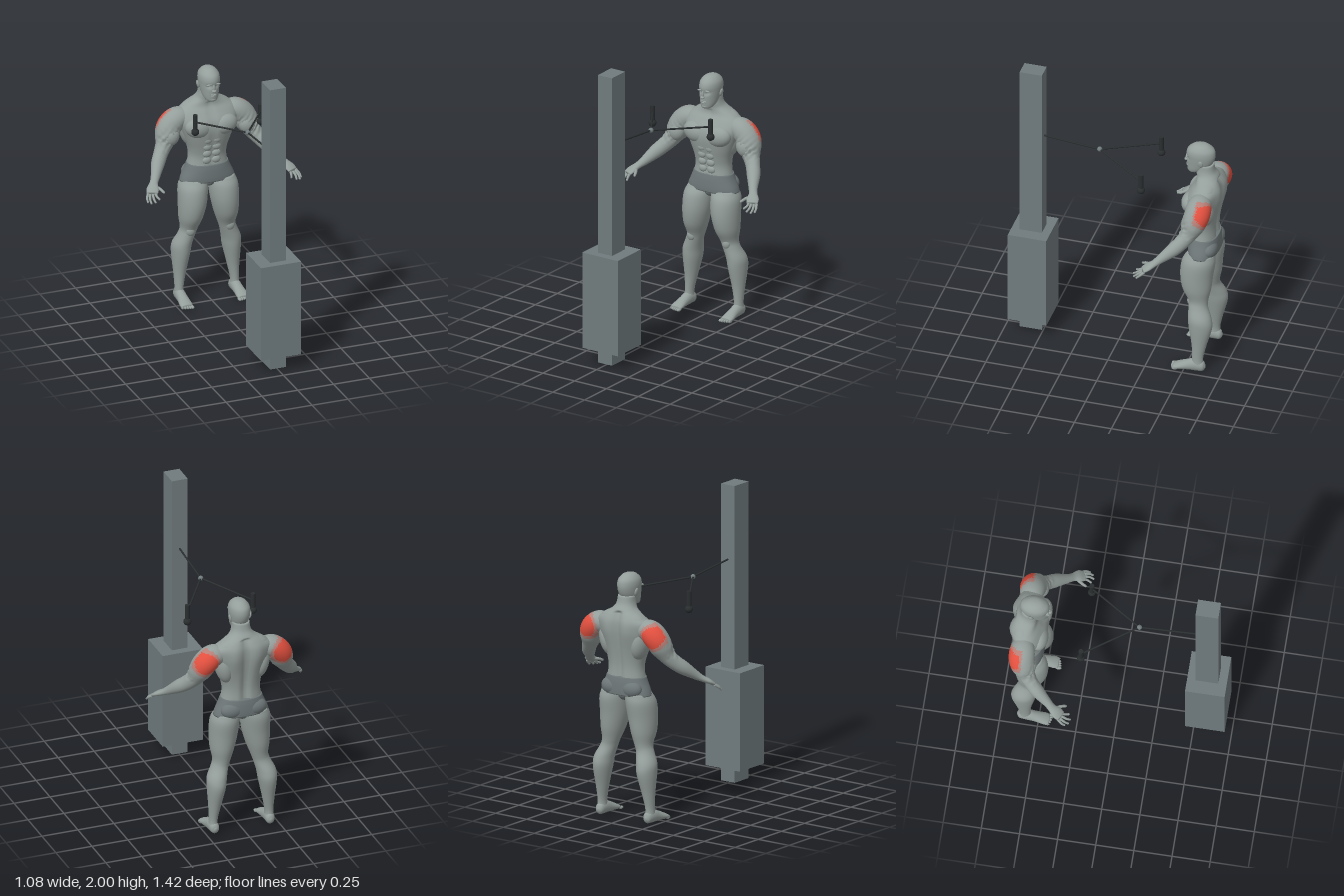
import * as THREE from 'three';

const mat = (name, color) => Object.assign(new THREE.MeshStandardMaterial({ color }), { name });
const skin = mat('skin grey', 0x949e9b);
const red = mat('active muscle red', 0xe2503f);
const flushed = mat('muscle edge', 0xb67f77);
const cloth = mat('shorts grey', 0x6e7778);
const steel = mat('machine grey', 0x707b7d);
const black = mat('grip black', 0x2a2e2f);
const Y = new THREE.Vector3(0, 1, 0);

// Smooth skin through rows of [x, y, z, halfWidth, halfDepth].
// upright: rings stay level; rule(p): reshapes a point; pick(p): material index of a face.
function loft(rows, { upright = false, seg = 36, steps = 5, e = 1, rule, pick } = {}) {
  const path = new THREE.CatmullRomCurve3(rows.map(r => new THREE.Vector3(r[0], r[1], r[2])), false, 'catmullrom');
  const size = new THREE.CatmullRomCurve3(rows.map(r => new THREE.Vector3(r[3], r[4], 0)), false, 'catmullrom');
  const n = (rows.length - 1) * steps, pts = [], tris = [];
  const pow = v => Math.sign(v) * Math.abs(v) ** e;
  for (let i = 0; i <= n; i++) {
    const c = path.getPoint(i / n), s = size.getPoint(i / n);
    const t = upright ? Y : path.getTangent(i / n);
    const u = upright ? new THREE.Vector3(1, 0, 0) : new THREE.Vector3().crossVectors(t, Y).normalize();
    const v = new THREE.Vector3().crossVectors(u, t);
    for (let j = 0; j < seg; j++) {
      const a = j / seg * Math.PI * 2;
      const p = c.clone().addScaledVector(u, pow(Math.sin(a)) * s.x).addScaledVector(v, pow(Math.cos(a)) * s.y);
      if (rule) rule(p);
      pts.push(p);
    }
  }
  for (let i = 0; i < n; i++) for (let j = 0; j < seg; j++) {
    const a = i * seg + j, b = i * seg + (j + 1) % seg;
    tris.push([a, b, b + seg], [a, b + seg, a + seg]);
  }
  // end caps
  const start = pts.push(path.getPoint(0)) - 1, end = pts.push(path.getPoint(1)) - 1;
  for (let j = 0; j < seg; j++) {
    const k = (j + 1) % seg;
    tris.push([start, k, j], [end, n * seg + j, n * seg + k]);
  }
  const g = new THREE.BufferGeometry().setFromPoints(pts);
  if (pick) {
    const sets = [[], [], []];
    for (const t of tris) {
      const m = new THREE.Vector3();
      t.forEach(k => m.addScaledVector(pts[k], 1 / 3));
      sets[pick(m)].push(...t);
    }
    let at = 0;
    sets.forEach((s, k) => { g.addGroup(at, s.length, k); at += s.length; });
    g.setIndex(sets.flat());
  } else g.setIndex(tris.flat());
  g.computeVertexNormals();
  return g;
}

export function createModel() {
  const model = new THREE.Group();
  model.name = 'cableExercise';
  const body = new THREE.Group(), machine = new THREE.Group();
  body.name = 'figure';
  machine.name = 'cableMachine';
  model.add(body, machine);

  const add = (parent, name, geo, material, pos = [0, 0, 0]) => {
    const m = new THREE.Mesh(geo, material);
    m.name = name;
    m.position.set(...pos);
    parent.add(m);
    return m;
  };
  const blob = (name, pos, r, material = skin, tilt = 0) => {
    const m = add(body, name, new THREE.SphereGeometry(1, 24, 16), material, pos);
    m.scale.set(...r);
    m.rotation.z = tilt;
  };
  const rod = (parent, name, a, b, r, material) => {
    const A = new THREE.Vector3(...a), B = new THREE.Vector3(...b), d = B.clone().sub(A);
    const m = add(parent, name, new THREE.CylinderGeometry(r, r, d.length(), 16), material);
    m.position.copy(A).lerp(B, 0.5);
    m.quaternion.setFromUnitVectors(Y, d.normalize());
  };

  // Machine: column, weight stack, cable with two grips
  add(machine, 'column', new THREE.BoxGeometry(0.11, 1.99, 0.15), steel, [0, 1.005, 0.58]);
  add(machine, 'weightStack', new THREE.BoxGeometry(0.28, 0.66, 0.26), steel, [0, 0.44, 0.58]);
  rod(machine, 'mainCable', [0, 1.5, 0.51], [0, 1.465, 0.13], 0.006, black);
  add(machine, 'cableJoint', new THREE.SphereGeometry(0.017, 20, 14), steel, [0, 1.465, 0.13]);
  for (const s of [-1, 1]) {
    rod(machine, 'sideCable', [0, 1.465, 0.13], [s * 0.228, 1.43, -0.218], 0.006, black);
    rod(machine, 'grip', [s * 0.228, 1.36, -0.218], [s * 0.228, 1.48, -0.218], 0.016, black);
    add(machine, 'gripBall', new THREE.SphereGeometry(0.026, 20, 14), black, [s * 0.228, 1.36, -0.218]);
  }

  // Torso with neck; a groove runs down the spine, with fuller muscle beside it
  const torso = [
    [0.95, -0.585, 0.137, 0.089], [1.02, -0.586, 0.128, 0.085], [1.08, -0.583, 0.136, 0.092],
    [1.15, -0.58, 0.16, 0.105], [1.22, -0.58, 0.185, 0.116], [1.28, -0.588, 0.205, 0.115],
    [1.335, -0.605, 0.2, 0.098], [1.375, -0.612, 0.15, 0.08], [1.415, -0.603, 0.085, 0.07],
    [1.45, -0.588, 0.063, 0.063], [1.5, -0.582, 0.056, 0.058],
  ].map(([y, z, a, b]) => [0, y, z, a, b]);
  add(body, 'torso', loft(torso, {
    upright: true, seg: 56, e: 0.9,
    rule: p => {
      if (p.y > 1.4) return;
      if (p.z < -0.62) {
        p.z += 0.022 * Math.exp(-((p.x / 0.025) ** 2));
        p.z -= 0.012 * Math.exp(-(((Math.abs(p.x) - 0.08) / 0.04) ** 2) - ((p.y - 1.28) / 0.1) ** 2);
      } else if (p.z > -0.55) p.z -= 0.008 * Math.exp(-((p.x / 0.015) ** 2));
    },
  }), skin);

  // Shorts
  const shorts = [[0.967, 0.139, 0.092], [0.93, 0.153, 0.098], [0.88, 0.176, 0.101], [0.847, 0.187, 0.1]]
    .reverse().map(([y, a, b]) => [0, y, -0.586, a, b]);
  add(body, 'shorts', loft(shorts, { upright: true, e: 0.88 }), cloth);
  blob('shortsCrotch', [0, 0.845, -0.58], [0.045, 0.05, 0.08], cloth);

  // Head
  const head = [
    [1.425, -0.5, 0.018, 0.02], [1.435, -0.51, 0.038, 0.04], [1.46, -0.53, 0.052, 0.065],
    [1.5, -0.547, 0.061, 0.085], [1.54, -0.555, 0.067, 0.094], [1.575, -0.556, 0.069, 0.096],
    [1.605, -0.557, 0.063, 0.086], [1.63, -0.557, 0.044, 0.058], [1.641, -0.557, 0.024, 0.033],
    [1.645, -0.557, 0.003, 0.004],
  ].map(([y, z, a, b]) => [0, y, z, a, b]);
  add(body, 'head', loft(head, {
    upright: true, seg: 48,
    rule: p => { // eye sockets
      if (p.z > -0.52) p.z -= 0.012 * Math.exp(-(((Math.abs(p.x) - 0.026) / 0.016) ** 2) - ((p.y - 1.538) / 0.012) ** 2);
    },
  }), skin);
  blob('noseBridge', [0, 1.527, -0.461], [0.008, 0.025, 0.009]);
  blob('noseTip', [0, 1.508, -0.457], [0.015, 0.01, 0.014]);
  blob('upperLip', [0, 1.48, -0.467], [0.021, 0.005, 0.009]);
  blob('lowerLip', [0, 1.47, -0.469], [0.018, 0.006, 0.01]);
  blob('chin', [0, 1.443, -0.482], [0.024, 0.015, 0.017]);

  // Rear shoulder is the highlighted muscle
  const shoulder = p => {
    const d = Math.hypot((p.y - 1.265) / 0.09, (Math.abs(p.x) - 0.265) / 0.09);
    return p.z > -0.598 || d > 1 ? 0 : d < 0.78 && p.z < -0.612 ? 1 : 2;
  };
  const armRows = [
    [0.13, 1.29, -0.6, 0.06, 0.06], [0.2, 1.29, -0.605, 0.08, 0.075], [0.252, 1.25, -0.603, 0.084, 0.08],
    [0.283, 1.19, -0.585, 0.078, 0.075], [0.31, 1.135, -0.563, 0.056, 0.056], [0.345, 1.09, -0.53, 0.047, 0.05],
    [0.385, 1.045, -0.48, 0.044, 0.045], [0.43, 0.99, -0.41, 0.03, 0.029], [0.455, 0.965, -0.375, 0.028, 0.021],
    [0.475, 0.945, -0.34, 0.04, 0.018], [0.49, 0.925, -0.31, 0.037, 0.012],
  ];
  // [knuckle, middle joint, tip]
  const fingers = [
    [[0.515, 0.922, -0.325], [0.53, 0.902, -0.3], [0.533, 0.885, -0.28]],
    [[0.505, 0.92, -0.312], [0.517, 0.9, -0.28], [0.517, 0.883, -0.258]],
    [[0.488, 0.92, -0.305], [0.494, 0.903, -0.273], [0.491, 0.889, -0.25]],
    [[0.469, 0.924, -0.305], [0.468, 0.91, -0.285], [0.46, 0.9, -0.262]],
    [[0.45, 0.95, -0.35], [0.43, 0.942, -0.318], [0.418, 0.93, -0.288]],
  ];
  const legRows = [
    [0.095, 0.86, -0.585, 0.085, 0.088], [0.105, 0.8, -0.572, 0.097, 0.11], [0.112, 0.7, -0.56, 0.093, 0.109],
    [0.122, 0.6, -0.563, 0.079, 0.096], [0.13, 0.52, -0.575, 0.059, 0.068], [0.145, 0.47, -0.58, 0.057, 0.064],
    [0.17, 0.4, -0.597, 0.064, 0.077], [0.177, 0.33, -0.604, 0.06, 0.078], [0.186, 0.2, -0.598, 0.041, 0.05],
    [0.193, 0.1, -0.59, 0.029, 0.037], [0.194, 0.04, -0.59, 0.032, 0.043],
  ].reverse();
  const footRows = [
    [0.192, 0.035, -0.642, 0.008, 0.01], [0.192, 0.037, -0.625, 0.028, 0.034], [0.194, 0.046, -0.58, 0.034, 0.044],
    [0.195, 0.036, -0.52, 0.036, 0.034], [0.197, 0.023, -0.46, 0.042, 0.021], [0.197, 0.016, -0.432, 0.038, 0.014],
  ];

  for (const s of [-1, 1]) {
    const side = rows => rows.map(([x, ...rest]) => [s * x, ...rest]);

    // Chest, back and seat
    blob('chestMuscle', [s * 0.088, 1.24, -0.512], [0.093, 0.07, 0.058], skin, s * 0.2);
    blob('latMuscle', [s * 0.125, 1.2, -0.605], [0.06, 0.12, 0.075], skin, -s * 0.2);
    blob('trapMuscle', [s * 0.085, 1.365, -0.62], [0.1, 0.04, 0.06], skin, -s * 0.35);
    blob('buttock', [s * 0.078, 0.89, -0.638], [0.08, 0.06, 0.052], cloth);
    for (let k = 0; k < 4; k++) blob('abdominal', [s * 0.032, 1.0 + k * 0.05, -0.508 + k * 0.006], [0.03, 0.025, 0.016]);

    // Ear and brow
    blob('ear', [s * 0.069, 1.525, -0.572], [0.009, 0.027, 0.017], skin, -s * 0.2);
    blob('brow', [s * 0.026, 1.552, -0.469], [0.024, 0.006, 0.008], skin, -s * 0.1);

    // Arm, with lumpy muscle at the front of the upper arm
    add(body, 'arm', loft(side(armRows), {
      seg: 40, steps: 7, pick: shoulder,
      rule: p => {
        const x = Math.abs(p.x), w = p.y > 1.11 && x > 0.2 && p.z > -0.61 ? Math.exp(-(((p.y - 1.19) / 0.06) ** 2)) : 0;
        p.z += 0.008 * w * Math.sin(x * 150) * Math.sin(p.y * 130);
        p.y += 0.006 * w * Math.sin(x * 110 + p.z * 140);
      },
    }), [skin, red, flushed]);
    blob('biceps', [s * 0.265, 1.19, -0.548], [0.055, 0.065, 0.045], skin, s * 0.5);
    fingers.forEach((f, k) => {
      const r = k === 4 ? 0.0115 : 0.0095;
      add(body, k === 4 ? 'thumb' : 'finger', loft(side(f.map((p, i) => [...p, r - i * 0.0015, r - i * 0.0015])), { seg: 12 }), skin);
      const [x, y, z] = f[2];
      blob('fingertip', [s * x, y, z], [0.0075, 0.0075, 0.0075]);
    });

    // Leg, foot and toes
    add(body, 'leg', loft(side(legRows), { upright: true }), skin);
    blob('kneecap', [s * 0.138, 0.505, -0.525], [0.03, 0.035, 0.02]);
    add(body, 'foot', loft(side(footRows), { seg: 28 }), skin);
    for (let k = 0; k < 5; k++) {
      blob('toe', [s * (0.165 + k * 0.016), 0.012, -0.427 - k * k * 0.001], [k ? 0.008 : 0.012, 0.011, 0.02]);
    }
  }
  return model;
}
